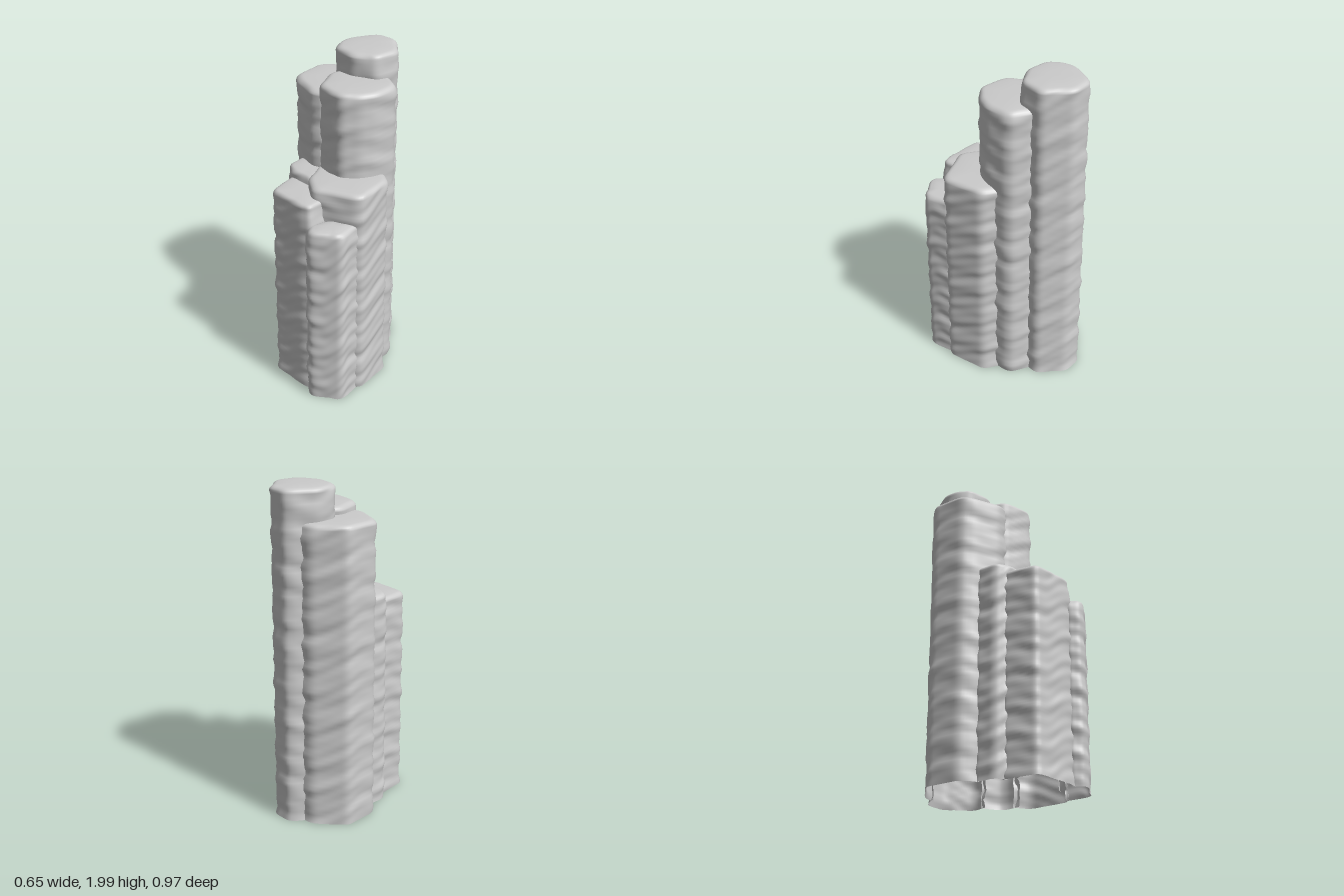
import * as THREE from 'three';

// Each column: name, top height, outline corners as [x, z]
const COLUMNS = [
  ['tallestColumn', 1.99, [[-0.115, -0.27], [-0.08, -0.37], [0.03, -0.465], [0.08, -0.485], [0.19, -0.435], [0.265, -0.26], [0.18, -0.125], [0.03, -0.12], [-0.09, -0.2]]],
  ['rightColumn', 1.85, [[-0.11, -0.16], [0, -0.27], [0.22, -0.22], [0.3, -0.12], [0.3, -0.07], [0.24, 0.05], [0.17, 0.11], [0.06, 0.145], [-0.02, 0.1], [-0.11, 0.03]]],
  ['backLeftColumn', 1.8, [[-0.06, -0.45], [-0.265, -0.37], [-0.325, -0.17], [-0.29, -0.1], [-0.16, 0.025], [-0.08, 0.035], [0.02, -0.1], [0.05, -0.42]]],
  ['middleRightColumn', 1.335, [[0.24, -0.06], [0.32, 0.06], [0.255, 0.295], [0.21, 0.315], [-0.045, 0.31], [-0.12, 0.18], [-0.12, 0], [0, -0.08]]],
  ['middleLeftColumn', 1.32, [[-0.26, -0.1], [-0.305, 0.03], [-0.265, 0.1], [-0.1, 0.19], [0, 0.1], [-0.08, -0.1]]],
  ['frontLeftColumn', 1.27, [[-0.265, 0.06], [-0.31, 0.28], [-0.09, 0.395], [-0.02, 0.41], [0.03, 0.28], [-0.06, 0.1]]],
  ['frontColumn', 1.15, [[0.05, 0.29], [-0.05, 0.39], [-0.03, 0.46], [0.01, 0.482], [0.185, 0.452], [0.21, 0.36], [0.23, 0.28]]],
];
const SIDES = 80, ROWS = 72, CAP_ROWS = 12, BEVEL = 0.035;

// Polygon with softened corners, resampled evenly
function outline(corners) {
  const pts = corners.map(([x, z]) => new THREE.Vector2(x, z));
  if (THREE.ShapeUtils.isClockWise(pts)) pts.reverse();
  const shape = new THREE.Shape();
  pts.forEach((p, i) => {
    const toward = (q) => p.clone().lerp(q, Math.min(0.35, 0.035 / p.distanceTo(q)));
    const a = toward(pts.at(i - 1)), b = toward(pts[(i + 1) % pts.length]);
    if (i === 0) shape.moveTo(a.x, a.y);
    else shape.lineTo(a.x, a.y);
    shape.quadraticCurveTo(p.x, p.y, b.x, b.y);
  });
  shape.closePath();
  return shape.getSpacedPoints(SIDES).slice(0, SIDES);
}

function contains(poly, x, z) {
  let inside = false;
  for (let i = 0, j = poly.length - 1; i < poly.length; j = i++) {
    const a = poly[i], b = poly[j];
    if (a.y > z !== b.y > z && x < ((b.x - a.x) * (z - a.y)) / (b.y - a.y) + a.x) inside = !inside;
  }
  return inside;
}

// Weathered horizontal bands, in units of radius
function weather(angle, y, seed) {
  const h = y + 0.035 * Math.sin(angle * 2 + seed);
  return 0.004 * Math.sin(h * 47 + seed * 2) * Math.sin(angle * 2 + h * 3 + seed)
    + 0.003 * Math.sin(h * 29 + seed * 5)
    + 0.002 * Math.sin(h * 83 + angle * 3 + seed);
}

function columnGeometry(col, others) {
  const { ring, center, radius, top, seed } = col;
  // Levels as [height, inset]: wall, rounded rim, then flat cap
  const levels = [];
  for (let i = 0; i <= ROWS; i++) levels.push([((top - BEVEL) * i) / ROWS, 0]);
  for (let i = 1; i <= 5; i++) {
    const t = (i / 5) * Math.PI / 2;
    levels.push([top - BEVEL + BEVEL * 0.85 * Math.sin(t), BEVEL * (1 - Math.cos(t))]);
  }
  for (let i = 1; i <= CAP_ROWS; i++) {
    const t = i / CAP_ROWS;
    levels.push([top - BEVEL * 0.15 * (1 - t) ** 3, BEVEL + (radius - BEVEL) * t]);
  }
  const pos = [], index = [];
  for (const [y, inset] of levels) {
    for (const p of ring) {
      const dx = p.x - center.x, dz = p.y - center.y;
      const bump = weather(Math.atan2(dz, dx), y, seed);
      const s = (1 - inset / radius) * (1 + bump / radius);
      pos.push(center.x + dx * s, y, center.y + dz * s);
    }
  }
  for (let i = 0; i < levels.length - 1; i++) {
    for (let j = 0; j < SIDES; j++) {
      const a = i * SIDES + j, b = i * SIDES + (j + 1) % SIDES;
      const c = a + SIDES, d = b + SIDES;
      index.push(a, c, b, b, c, d);
    }
  }
  const geo = new THREE.BufferGeometry();
  geo.setAttribute('position', new THREE.Float32BufferAttribute(pos, 3));
  geo.setIndex(index);
  geo.computeVertexNormals();

  // Drop faces buried in a neighbour, so the cluster is one hollow shell
  const buried = others.map((o) => {
    const flags = [];
    for (let v = 0; v < pos.length; v += 3) {
      flags.push(pos[v + 1] < o.top - 0.02 && contains(o.core, pos[v], pos[v + 2]));
    }
    return flags;
  });
  const kept = [];
  for (let i = 0; i < index.length; i += 3) {
    const tri = index.slice(i, i + 3);
    if (!buried.some((f) => tri.every((v) => f[v]))) kept.push(...tri);
  }
  geo.setIndex(kept);
  return geo;
}

export function createModel() {
  const group = new THREE.Group();
  group.name = 'rockColumns';
  const material = new THREE.MeshStandardMaterial({ color: 0xcccccc, side: THREE.DoubleSide });
  const columns = COLUMNS.map(([name, top, corners], i) => {
    const ring = outline(corners);
    const center = ring.reduce((s, p) => s.add(p), new THREE.Vector2()).divideScalar(SIDES);
    const radius = ring.reduce((s, p) => s + p.distanceTo(center), 0) / SIDES;
    const core = ring.map((p) => p.clone().lerp(center, 0.04));
    return { name, top, ring, center, radius, core, seed: i * 1.7 + 0.6 };
  });
  for (const col of columns) {
    const mesh = new THREE.Mesh(columnGeometry(col, columns.filter((o) => o !== col)), material);
    mesh.name = col.name;
    group.add(mesh);
  }
  return group;
}
